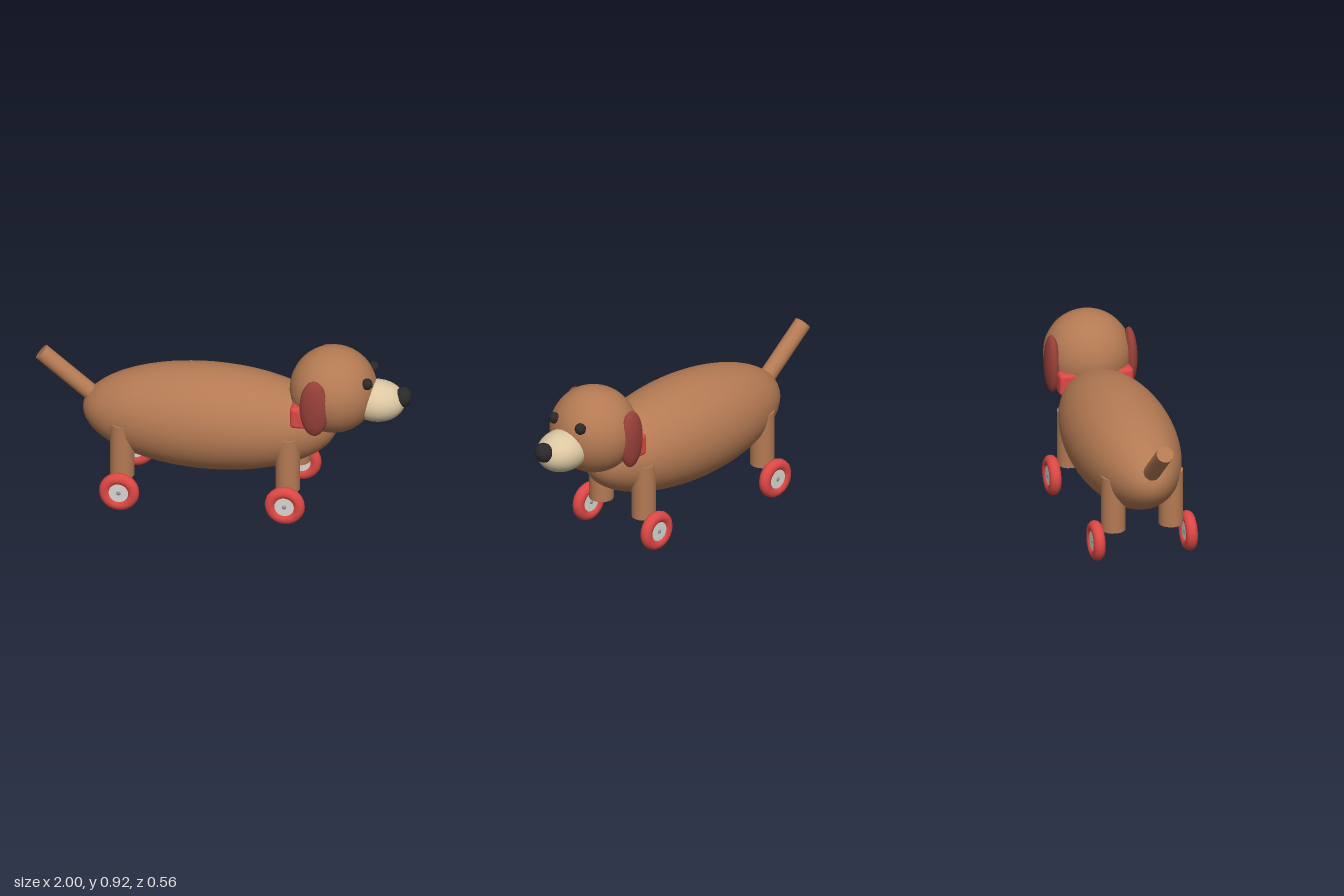
import * as THREE from 'three';
import { RoundedBoxGeometry } from 'three/addons/geometries/RoundedBoxGeometry.js';

const mat = (name, color) => {
  const m = new THREE.MeshStandardMaterial({ color });
  m.name = name;
  return m;
};

export function createModel() {
  const group = new THREE.Group();
  const brown = mat('brown wood', 0xb47a53);
  const cream = mat('cream', 0xdcc7a2);
  const black = mat('black', 0x2a2a2a);
  const earRed = mat('dark red felt', 0x98403a);
  const red = mat('red', 0xdd4844);
  const white = mat('hub white', 0xdad7d0);
  const grey = mat('axle grey', 0x9a9a9a);

  const add = (name, geo, material, pos, parent = group) => {
    const mesh = new THREE.Mesh(geo, material);
    mesh.name = name;
    mesh.position.set(...pos);
    parent.add(mesh);
    return mesh;
  };
  const ellipsoid = (rx, ry, rz, w = 32, h = 24) =>
    new THREE.SphereGeometry(1, w, h).scale(rx, ry, rz);

  // Body, head and face, with the nose pointing to +x
  add('body', ellipsoid(0.675, 0.282, 0.28, 48, 32), brown, [-0.075, 0.473, 0]);
  add('head', ellipsoid(0.23, 0.232, 0.232), brown, [0.58, 0.693, 0]);
  add('muzzle', ellipsoid(0.15, 0.11, 0.123), cream, [0.81, 0.645, 0]);
  add('nose', ellipsoid(0.047, 0.053, 0.053, 14, 10), black, [0.95, 0.678, 0]);

  // Collar bar, emerging on both sides of the neck
  add('collar', new RoundedBoxGeometry(0.09, 0.12, 0.4, 3, 0.02), red, [0.425, 0.6, 0]);

  // Tail, slanting up and back
  const tailTip = new THREE.Vector3(-0.972, 0.766, 0);
  const tailRoot = new THREE.Vector3(-0.64, 0.494, 0);
  const along = tailTip.clone().sub(tailRoot);
  const tail = add('tail', new THREE.CylinderGeometry(0.045, 0.045, along.length(), 16),
    brown, tailRoot.clone().add(tailTip).multiplyScalar(0.5).toArray());
  tail.quaternion.setFromUnitVectors(new THREE.Vector3(0, 1, 0), along.normalize());

  // Shared leg and wheel shapes
  const legGeo = new THREE.CylinderGeometry(0.065, 0.065, 0.305, 16);
  const tyreGeo = new THREE.TorusGeometry(0.075, 0.032, 12, 24);
  const hubGeo = new THREE.CylinderGeometry(0.056, 0.056, 0.042, 16).rotateX(Math.PI / 2);
  const capGeo = ellipsoid(0.02, 0.02, 0.028, 12, 8);

  for (const side of [1, -1]) {
    const label = side > 0 ? 'near' : 'far';
    add(`${label}Eye`, ellipsoid(0.03, 0.031, 0.031, 10, 8), black, [0.775, 0.788, side * 0.096]);
    add(`${label}Ear`, ellipsoid(0.077, 0.16, 0.04, 20, 16), earRed, [0.513, 0.678, side * 0.21]);

    for (const [end, x] of [['front', 0.365], ['rear', -0.515]]) {
      add(`${label}${end}Leg`, legGeo, brown, [x, 0.3175, side * 0.156]);
      const wheel = new THREE.Group();
      wheel.name = `${label}${end}Wheel`;
      wheel.position.set(x, 0.11, side * 0.25);
      add('tyre', tyreGeo, red, [0, 0, 0], wheel);
      add('hub', hubGeo, white, [0, 0, 0], wheel);
      add('axleCap', capGeo, grey, [0, 0, 0], wheel);
      group.add(wheel);
    }
  }
  return group;
}
